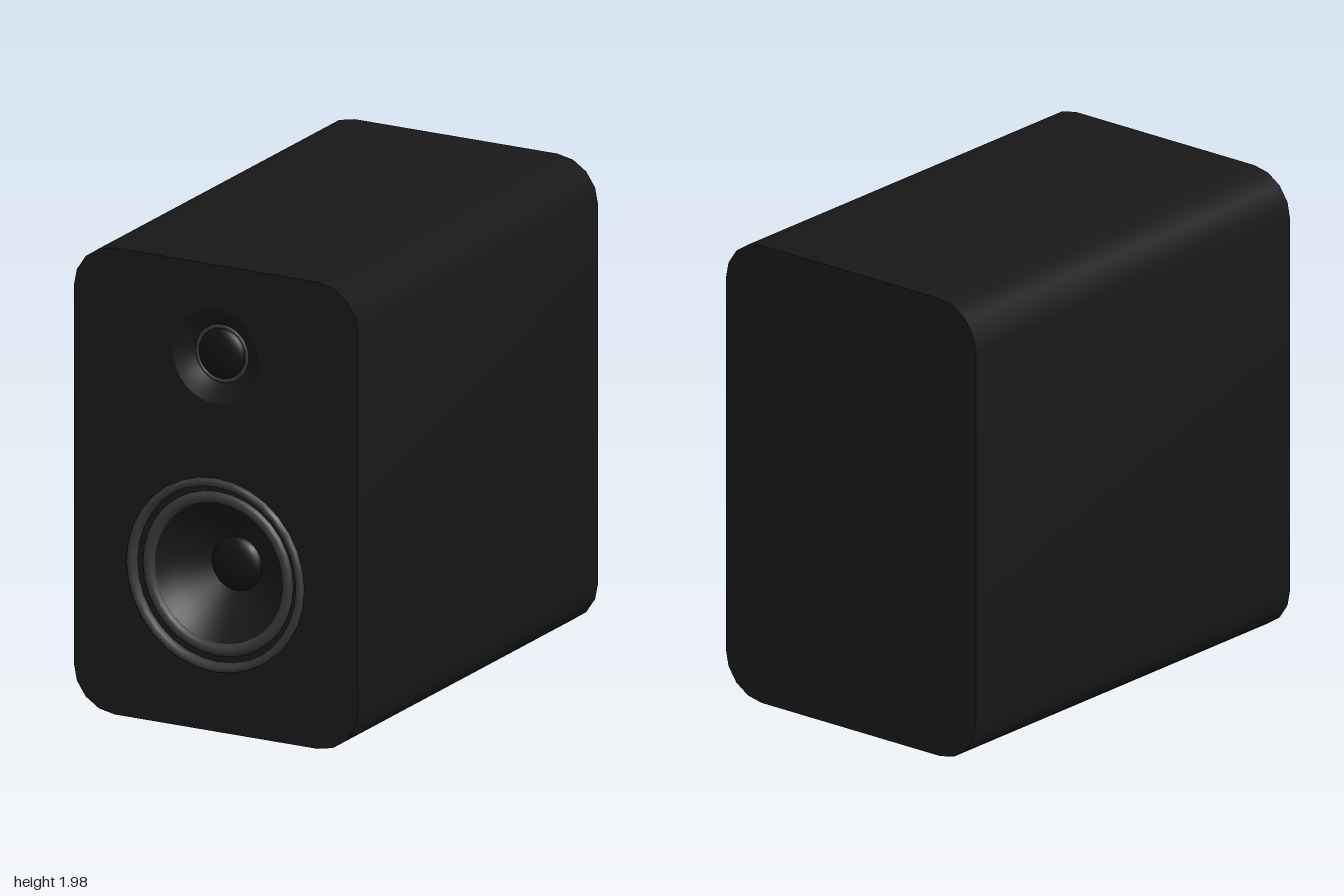
import * as THREE from 'three';
import { mergeGeometries, toCreasedNormals } from 'three/addons/utils/BufferGeometryUtils.js';

const SEG = 32;
const BACK = -1, FRONT = 0.98;
const W = 1.32, H = 1.98, R = 0.19;
const TWEETER_Y = 1.59, WOOFER_Y = 0.665;

const paint = (color) => new THREE.MeshStandardMaterial({ color });
const black = paint(0x181818);
const rubber = paint(0x383838);
const capBlack = paint(0x111111);

// Points along an arc, from angle a over the given sweep
function arc(cx, cy, r, a, sweep, n) {
  return Array.from({ length: n + 1 }, (_, i) => {
    const t = a + (sweep * i) / n;
    return new THREE.Vector2(cx + r * Math.cos(t), cy + r * Math.sin(t));
  });
}

// Rounded rectangle with four facets per corner
function cabinetOutline() {
  const x = W / 2 - R;
  const corners = [[x, H - R], [-x, H - R], [-x, R], [x, R]];
  return new THREE.Shape(corners.flatMap(([cx, cy], i) => arc(cx, cy, R, (i * Math.PI) / 2, Math.PI / 2, 4)));
}

// Cabinet: walls and back from an extrusion, front panel with driver openings
function cabinetGeometry() {
  const solid = new THREE.ExtrudeGeometry(cabinetOutline(), { depth: FRONT - BACK, bevelEnabled: false });
  solid.translate(0, 0, BACK);
  const p = solid.getAttribute('position').array;
  const kept = [];
  for (let i = 0; i < p.length; i += 9) {
    const onFront = [2, 5, 8].every((k) => p[i + k] > FRONT - 1e-4);
    if (!onFront) kept.push(...p.slice(i, i + 9));
  }
  const shell = new THREE.BufferGeometry();
  shell.setAttribute('position', new THREE.Float32BufferAttribute(kept, 3));

  const panel = cabinetOutline();
  for (const [y, r] of [[TWEETER_Y, 0.2], [WOOFER_Y, 0.395]]) {
    panel.holes.push(new THREE.Path(arc(0, y, r, 0, Math.PI * 2, SEG).slice(0, SEG)));
  }
  const face = new THREE.ShapeGeometry(panel).toNonIndexed();
  face.translate(0, 0, FRONT);
  face.deleteAttribute('uv');
  face.deleteAttribute('normal');
  return toCreasedNormals(mergeGeometries([shell, face]), 0.6);
}

// Turned part facing +z; profile of [radius, z] runs from the rim inwards
function turned(name, profile, material, y) {
  const geo = new THREE.LatheGeometry(profile.map(([r, z]) => new THREE.Vector2(r, z)), SEG);
  geo.rotateX(Math.PI / 2);
  const mesh = new THREE.Mesh(toCreasedNormals(geo, 0.9), material);
  mesh.name = name;
  mesh.position.y = y;
  return mesh;
}

// Rounded ridge between two radii
function ridge(outer, inner, z, height, n = 8) {
  const mid = (outer + inner) / 2, half = (outer - inner) / 2;
  return Array.from({ length: n + 1 }, (_, i) => {
    const t = (Math.PI * i) / n;
    return [mid + half * Math.cos(t), z + height * Math.sin(t)];
  });
}

// Shallow dome closing at the axis
function dome(r, z, height, n = 8) {
  return Array.from({ length: n + 1 }, (_, i) => {
    const t = (Math.PI / 2) * (i / n);
    return [i === n ? 0 : r * Math.cos(t), z + height * Math.sin(t)];
  });
}

export function createModel() {
  const model = new THREE.Group();
  model.name = 'bookshelfSpeaker';

  const cabinet = new THREE.Mesh(cabinetGeometry(), black);
  cabinet.name = 'cabinet';
  model.add(cabinet);

  // Tweeter set into a shallow waveguide
  const tweeter = new THREE.Group();
  tweeter.name = 'tweeter';
  tweeter.add(
    turned('waveguide', [[0.2, 0.98], [0.16, 0.958], [0.118, 0.925]], black, TWEETER_Y),
    turned('tweeterRing', ridge(0.124, 0.106, 0.925, 0.012), rubber, TWEETER_Y),
    turned('tweeterDome', dome(0.108, 0.925, 0.04), capBlack, TWEETER_Y),
  );

  // Woofer: frame ring, groove, rubber surround, cone and dust cap
  const woofer = new THREE.Group();
  woofer.name = 'woofer';
  woofer.add(
    turned('frameRing', [[0.41, 0.98], [0.41, 0.99], [0.402, 0.998], [0.394, 1], [0.384, 0.998], [0.376, 0.99], [0.374, 0.96]], rubber, WOOFER_Y),
    turned('groove', [[0.376, 0.962], [0.346, 0.962]], black, WOOFER_Y),
    turned('surround', ridge(0.35, 0.298, 0.955, 0.026), rubber, WOOFER_Y),
    turned('cone', [[0.3, 0.957], [0.25, 0.905], [0.18, 0.845], [0.11, 0.8]], black, WOOFER_Y),
    turned('dustCap', dome(0.115, 0.802, 0.045), capBlack, WOOFER_Y),
  );

  model.add(tweeter, woofer);
  return model;
}
